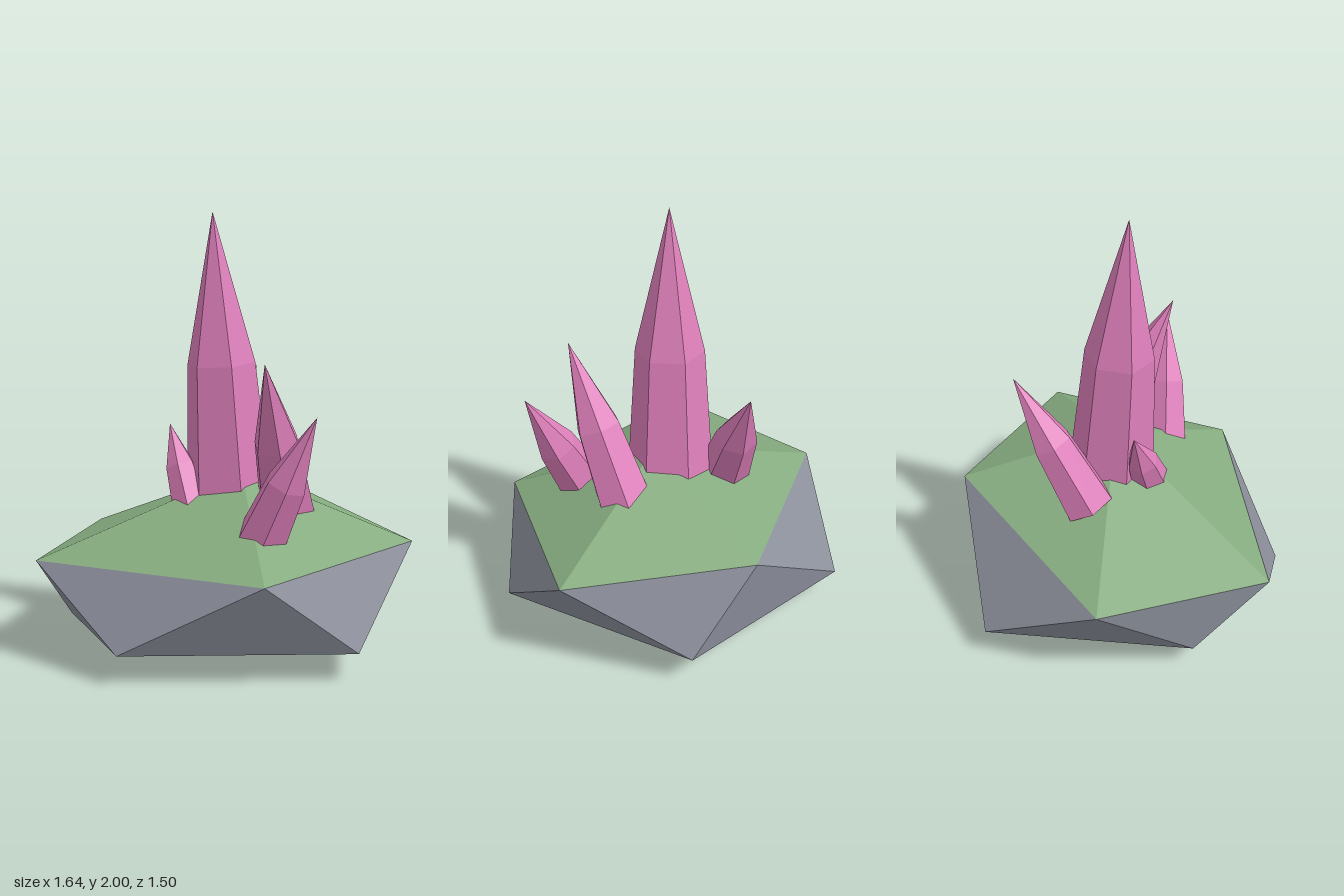
import * as THREE from 'three';

const flat = (name, color) => {
  const m = new THREE.MeshStandardMaterial({ color });
  m.name = name;
  m.flatShading = true;
  return m;
};

// Flat-faced mesh from a list of triangles
function facets(name, triangles, material) {
  const g = new THREE.BufferGeometry();
  g.setAttribute('position', new THREE.Float32BufferAttribute(triangles.flat(2), 3));
  g.computeVertexNormals();
  const mesh = new THREE.Mesh(g, material);
  mesh.name = name;
  return mesh;
}

// Six-sided shard: tapering shaft up to a shoulder, then a long point
function crystal(name, root, tip, radius, turn, bury, material) {
  const a = new THREE.Vector3(...root), b = new THREE.Vector3(...tip);
  const dir = b.clone().sub(a).normalize();
  a.addScaledVector(dir, -bury);
  const length = a.distanceTo(b);
  let g = new THREE.CylinderGeometry(0, radius, length, 6, 2, false, turn);
  const p = g.attributes.position;
  for (let i = 0; i < p.count; i++) {
    if (Math.abs(p.getY(i)) < 1e-4) {
      p.setX(i, p.getX(i) * 1.56);
      p.setZ(i, p.getZ(i) * 1.56);
    }
  }
  g = g.toNonIndexed();
  g.computeVertexNormals();
  const mesh = new THREE.Mesh(g, material);
  mesh.name = name;
  mesh.position.copy(a).add(b).multiplyScalar(0.5);
  mesh.quaternion.setFromUnitVectors(new THREE.Vector3(0, 1, 0), dir);
  return mesh;
}

export function createModel() {
  const group = new THREE.Group();
  group.name = 'crystalRock';
  const rock = flat('rock grey', 0x8e929e);
  const moss = flat('moss green', 0x86ac80);
  const pink = flat('crystal pink', 0xdf80bc);

  // Boulder: two staggered rings of five corners between a peak and a foot
  const peak = [0.03, 0.82, 0.04], foot = [-0.03, 0, 0.03];
  const upper = [[0.82, 0.52, 0], [0.23, 0.575, -0.66], [-0.78, 0.456, -0.34], [-0.82, 0.455, 0.47], [0.28, 0.47, 0.72]];
  const lower = [[0.54, 0.16, -0.525], [-0.385, 0.14, -0.75], [-0.78, 0.11, 0.13], [-0.36, 0.135, 0.745], [0.645, 0.13, 0.475]];
  const cap = [], body = [];
  for (let i = 0; i < 5; i++) {
    const j = (i + 1) % 5;
    cap.push([peak, upper[i], upper[j]]);
    body.push([upper[i], lower[i], upper[j]], [lower[i], lower[j], upper[j]], [foot, lower[j], lower[i]]);
  }
  group.add(facets('mossCap', cap, moss), facets('boulder', body, rock));

  // Crystals: name, root centre, tip, radius, turn about the axis, buried depth
  const shards = [
    ['mainCrystal', [-0.04, 0.75, 0], [-0.1, 2, 0.05], 0.205, Math.PI / 2, 0.12],
    ['frontLeftCrystal', [0.2, 0.6, 0.36], [0.45, 1.15, 0.46], 0.122, 0.2, 0.07],
    ['leftCrystal', [0.25, 0.67, 0.07], [0.21, 1.36, 0.39], 0.14, 0.3, 0.07],
    ['backCrystal', [-0.21, 0.69, -0.21], [0, 1.25, -0.455], 0.125, 0.4, 0.07],
    ['rightCrystal', [-0.2, 0.7, 0.12], [-0.32, 1.02, 0], 0.092, 0.1, 0.06],
  ];
  for (const s of shards) group.add(crystal(...s, pink));
  return group;
}
